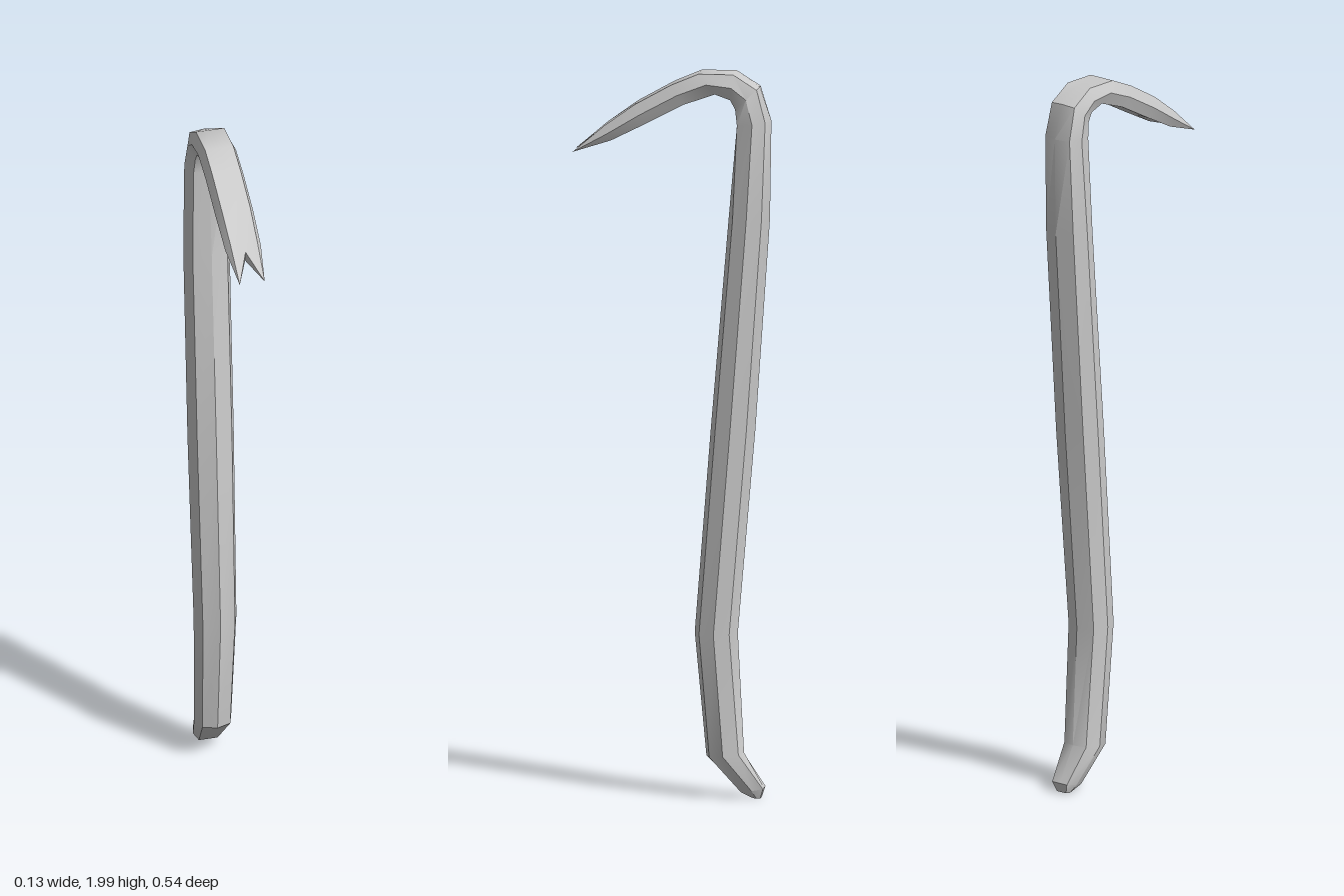
import * as THREE from 'three';
import { toCreasedNormals } from 'three/addons/utils/BufferGeometryUtils.js';

// Sections from chisel end to claw:
// [inner z, inner y, outer z, outer y, half width, inner corner depth, outer corner depth]
const SECTIONS = [
  [-0.222, 0.008, -0.242, 0.008, 0.022, 1, 1],
  [-0.19, 0.025, -0.25, 0.035, 0.035, 1, 1],
  [-0.092, 0.12, -0.195, 0.13, 0.052, 0.75, 0.8],
  [-0.06, 0.46, -0.178, 0.46, 0.06, 0.7, 0.7],
  [-0.104, 1.02, -0.226, 1.02, 0.065, 0.7, 0.7],
  [-0.153, 1.6, -0.266, 1.6, 0.065, 0.7, 0.7],
  [-0.179, 1.86, -0.27, 1.87, 0.058, 0.95, 0.75],
  [-0.176, 1.905, -0.238, 1.962, 0.054, 1, 0.9],
  [-0.162, 1.93, -0.17, 2.0, 0.053, 1, 1],
  [-0.12, 1.945, -0.075, 2.0, 0.053, 1, 1],
  [-0.035, 1.915, 0.0, 1.968, 0.053, 1, 1],
  [0.07, 1.86, 0.1, 1.912, 0.053, 1, 1],
  [0.165, 1.812, 0.183, 1.852, 0.05, 1, 1],
];
const SIDES = 8;
const CORNER = 0.75;

// Eight-sided ring, starting at the inner middle and turning toward +x
function ring([iz, iy, oz, oy, w, ki, ko]) {
  const profile = [
    [0, 1], [CORNER, ki], [1, 0], [CORNER, -ko],
    [0, -1], [-CORNER, -ko], [-1, 0], [-CORNER, ki],
  ];
  return profile.map(([x, d]) => new THREE.Vector3(
    x * w,
    (iy + oy) / 2 + d * (iy - oy) / 2,
    (iz + oz) / 2 + d * (iz - oz) / 2,
  ));
}

function barGeometry() {
  const rings = SECTIONS.map(ring);
  const last = rings[rings.length - 1];
  // Root of the notch between the claws
  last[0].set(0, 1.805, 0.195);
  last[4].set(0, 1.835, 0.2);

  const positions = [];
  const tri = (...points) => points.forEach((p) => positions.push(p.x, p.y, p.z));

  // Skin between neighbouring sections
  for (let i = 0; i < rings.length - 1; i++) {
    for (let j = 0; j < SIDES; j++) {
      const k = (j + 1) % SIDES;
      tri(rings[i][j], rings[i][k], rings[i + 1][k]);
      tri(rings[i][j], rings[i + 1][k], rings[i + 1][j]);
    }
  }

  // Blunt chisel end
  const first = rings[0];
  for (let j = 1; j < SIDES - 1; j++) tri(first[0], first[j + 1], first[j]);

  // Two pointed claws, each closed by a notch wall
  for (const side of [1, -1]) {
    const tip = new THREE.Vector3(0.035 * side, 1.778, 0.27);
    const start = side > 0 ? 0 : 4;
    for (let j = start; j < start + 4; j++) tri(last[j], last[(j + 1) % SIDES], tip);
    tri(last[(start + 4) % SIDES], last[start], tip);
  }

  const geometry = new THREE.BufferGeometry();
  geometry.setAttribute('position', new THREE.Float32BufferAttribute(positions, 3));
  return toCreasedNormals(geometry, 0.6);
}

export function createModel() {
  const group = new THREE.Group();
  group.name = 'crowbar';
  const material = new THREE.MeshStandardMaterial({ color: 0xcccccc });
  const bar = new THREE.Mesh(barGeometry(), material);
  bar.name = 'bar';
  group.add(bar);
  return group;
}
